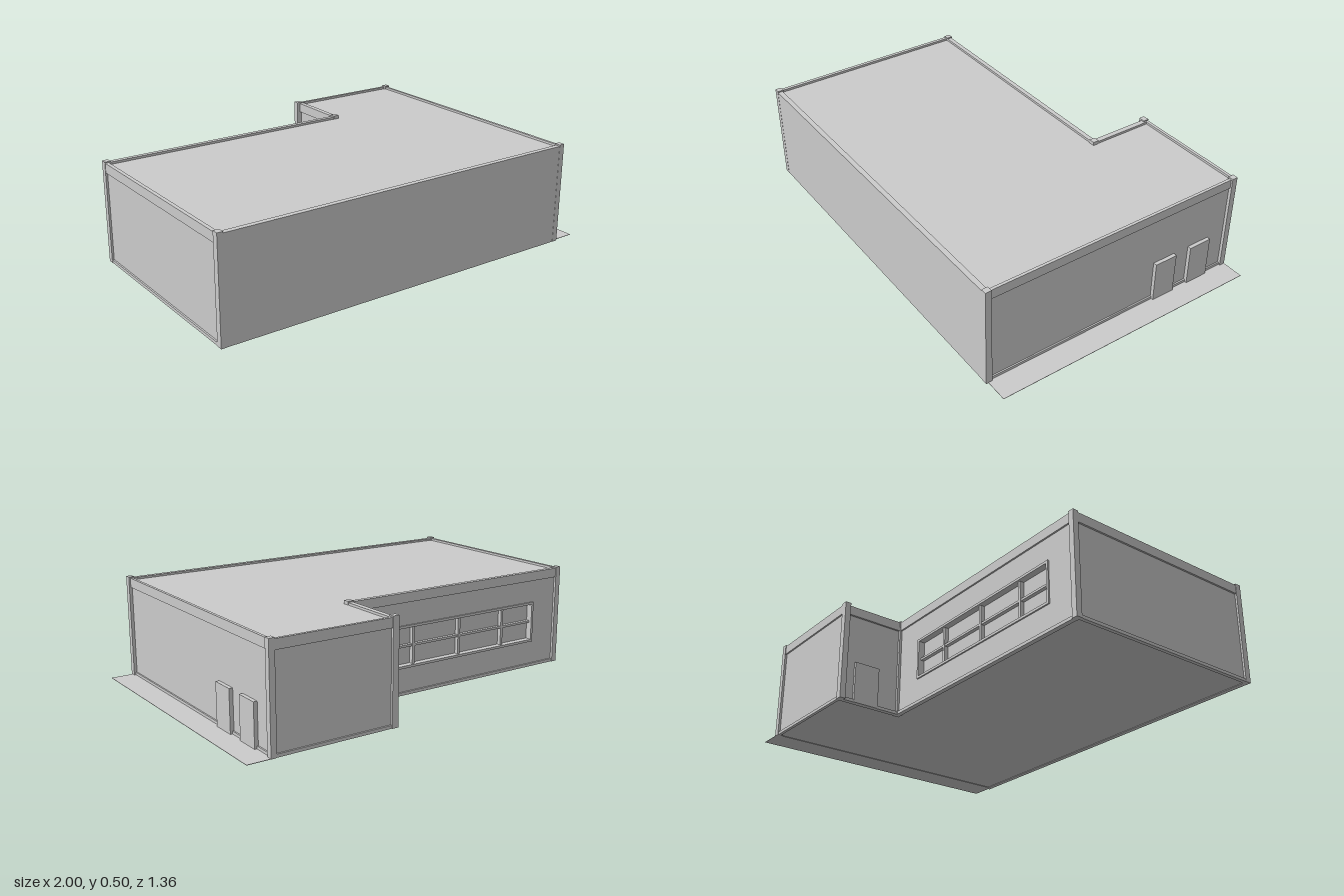
import * as THREE from 'three';

const material = new THREE.MeshStandardMaterial({ color: 0xcccccc, flatShading: true });

export function createModel() {
  const model = new THREE.Group();

  // Box given by its limits on each axis
  function box(name, x0, x1, y0, y1, z0, z1) {
    const mesh = new THREE.Mesh(new THREE.BoxGeometry(x1 - x0, y1 - y0, z1 - z0), material);
    mesh.position.set((x0 + x1) / 2, (y0 + y1) / 2, (z0 + z1) / 2);
    mesh.name = name;
    model.add(mesh);
    return mesh;
  }

  function outline(points) {
    return new THREE.Shape(points.map(([x, y]) => new THREE.Vector2(x, y)));
  }

  // L-shaped body; its top is the roof and its bottom the floor
  const plan = outline([
    [-0.99, -0.67], [0.875, -0.67], [0.875, 0.67], [0.285, 0.67], [0.285, 0.325], [-0.99, 0.325],
  ]);
  const body = new THREE.Mesh(
    new THREE.ExtrudeGeometry(plan, { depth: 0.477, bevelEnabled: false }), material);
  body.rotation.x = -Math.PI / 2;
  body.position.y = 0.003;
  body.name = 'body';
  model.add(body);

  // Long back wall with the window opening
  const win = { x0: -0.83, x1: 0.12, y0: 0.13, y1: 0.335 };
  const wallShape = outline([[-0.99, 0.003], [0.285, 0.003], [0.285, 0.48], [-0.99, 0.48]]);
  wallShape.holes.push(outline([
    [win.x0, win.y0], [win.x0, win.y1], [win.x1, win.y1], [win.x1, win.y0],
  ]));
  const backWall = new THREE.Mesh(
    new THREE.ExtrudeGeometry(wallShape, { depth: 0.025, bevelEnabled: false }), material);
  backWall.position.z = -0.35;
  backWall.name = 'backWall';
  model.add(backWall);

  // Window frame and glazing bars
  const t = 0.012;
  for (const y of [win.y0, win.y1 - t]) {
    box('windowFrameRail', win.x0, win.x1, y, y + t, -0.357, -0.32);
  }
  for (const x of [win.x0, win.x1 - t]) {
    box('windowFrameStile', x, x + t, win.y0 + t, win.y1 - t, -0.357, -0.32);
  }
  for (const x of [-0.63, -0.355, -0.08]) {
    box('windowMullion', x - 0.007, x + 0.007, win.y0 + t, win.y1 - t, -0.345, -0.32);
  }
  box('windowTransom', win.x0 + t, win.x1 - t, 0.227, 0.238, -0.343, -0.32);

  // Flush front wall
  box('frontWall', -1, 0.885, 0, 0.49, 0.655, 0.68);

  // Cap and base bands: x limits, z limits
  const bands = [
    [-0.998, -0.98, -0.355, 0.66],
    [-0.99, 0.285, -0.358, -0.335],
    [0.275, 0.30, -0.67, -0.335],
    [0.28, 0.88, -0.678, -0.663],
    [0.868, 0.882, -0.67, 0.66],
  ];
  for (const [x0, x1, z0, z1] of bands) {
    box('parapetBand', x0, x1, 0.445, 0.491, z0, z1);
    box('baseBand', x0, x1, 0, 0.015, z0, z1);
  }

  // Corner posts rising just above the parapet
  const posts = [
    [-1, -0.972, 0.65, 0.681], [0.862, 0.89, 0.65, 0.681],
    [-1, -0.972, -0.362, -0.333], [0.272, 0.302, -0.362, -0.333],
    [0.26, 0.292, -0.681, -0.652], [0.862, 0.89, -0.681, -0.652],
  ];
  for (const [x0, x1, z0, z1] of posts) box('cornerPost', x0, x1, 0, 0.497, z0, z1);

  // Doors on the right side and in the back recess
  for (const z of [-0.29, -0.495]) {
    box('sideDoor', 0.87, 0.893, 0, 0.205, z - 0.06, z + 0.06);
  }
  box('recessDoor', 0.272, 0.29, 0, 0.205, -0.6, -0.47);

  // Thin pavement along the right side
  box('pavement', 0.87, 1, 0, 0.002, -0.68, 0.67);

  return model;
}
